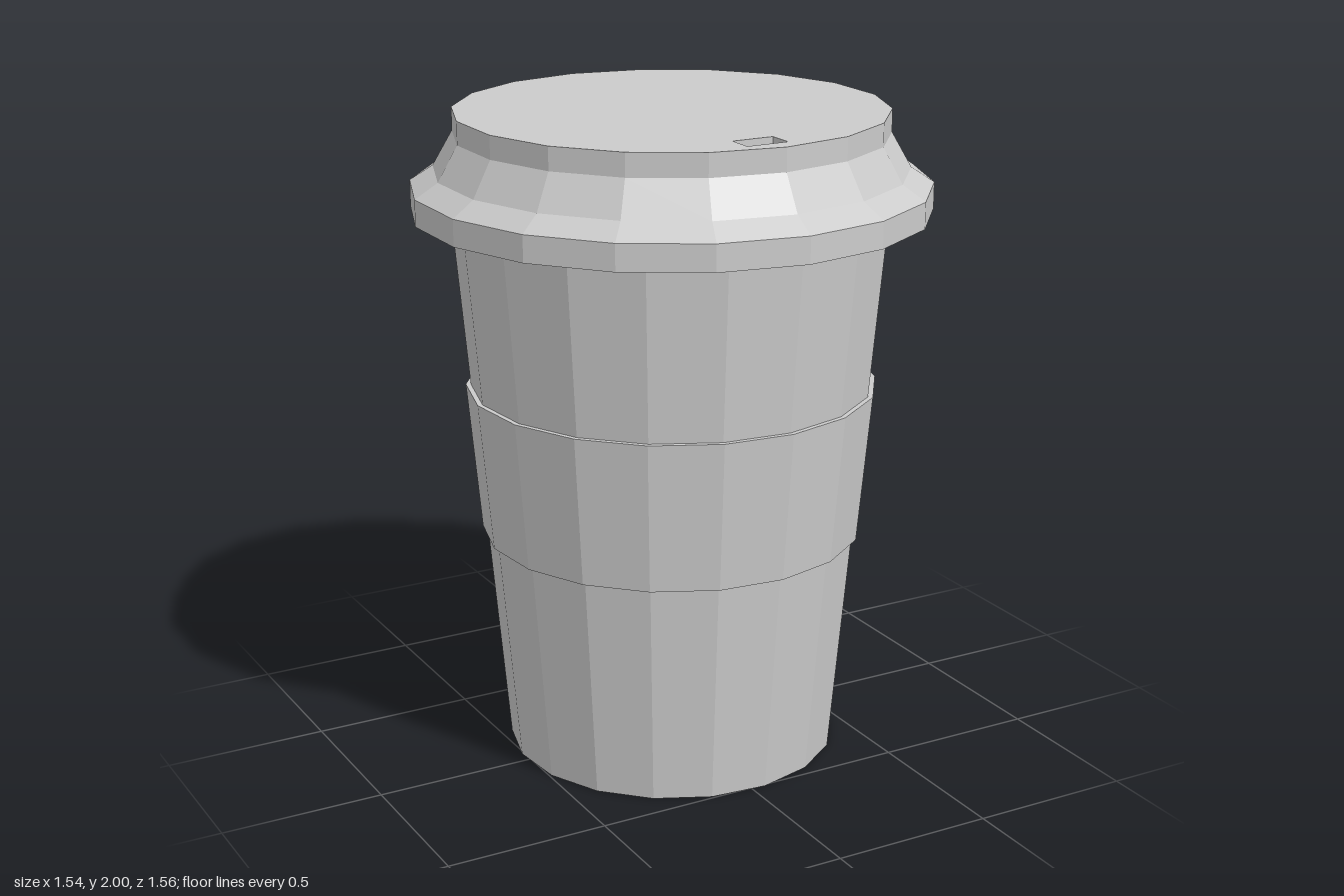
import * as THREE from 'three';

const SIDES = 18;
const material = new THREE.MeshStandardMaterial({ color: 0xcccccc, flatShading: true });

// Faceted solid of revolution from [radius, height] pairs
function turned(name, profile, turn = 0) {
  const points = profile.map(([r, y]) => new THREE.Vector2(r, y));
  const mesh = new THREE.Mesh(new THREE.LatheGeometry(points, SIDES, turn), material);
  mesh.name = name;
  return mesh;
}

export function createModel() {
  const model = new THREE.Group();
  model.name = 'takeawayCup';
  const cupTurn = THREE.MathUtils.degToRad(5);

  // Tapered cup body, reaching up inside the lid
  model.add(turned('cupBody', [[0, 0], [0.51, 0], [0.668, 1.82], [0, 1.82]], cupTurn));

  // Thin sleeve around the middle
  model.add(turned('sleeve', [
    [0.565, 0.7], [0.585, 0.7], [0.626, 1.16], [0.605, 1.16], [0.565, 0.7],
  ], cupTurn));

  const lid = new THREE.Group();
  lid.name = 'lid';
  model.add(lid);

  // Hollow lid skirt: rim band, flared shoulder and neck, then back down the inside
  lid.add(turned('lidSkirt', [
    [0.78, 1.7], [0.78, 1.78], [0.71, 1.825], [0.65, 1.93], [0.65, 1.96],
    [0.63, 1.96], [0.63, 1.92], [0.69, 1.815], [0.76, 1.77], [0.76, 1.7], [0.78, 1.7],
  ]));

  // Top plate with a rectangular sip hole near the front
  const outline = new THREE.Shape();
  for (let i = 0; i < SIDES; i++) {
    const a = -Math.PI / 2 + (i / SIDES) * Math.PI * 2;
    const x = 0.65 * Math.cos(a), y = 0.65 * Math.sin(a);
    if (i === 0) outline.moveTo(x, y); else outline.lineTo(x, y);
  }
  outline.closePath();
  const hole = new THREE.Path();
  hole.moveTo(-0.09, -0.59).lineTo(-0.09, -0.51).lineTo(0.04, -0.51).lineTo(0.04, -0.59).closePath();
  outline.holes.push(hole);
  const plateGeometry = new THREE.ExtrudeGeometry(outline, { depth: 0.04, bevelEnabled: false });
  plateGeometry.rotateX(-Math.PI / 2);
  const plate = new THREE.Mesh(plateGeometry, material);
  plate.name = 'lidTop';
  plate.position.y = 1.96;
  lid.add(plate);

  // Floor of the sip hole
  const floor = new THREE.Mesh(new THREE.BoxGeometry(0.15, 0.01, 0.1), material);
  floor.name = 'sipHoleFloor';
  floor.position.set(-0.025, 1.955, 0.55);
  lid.add(floor);

  return model;
}
